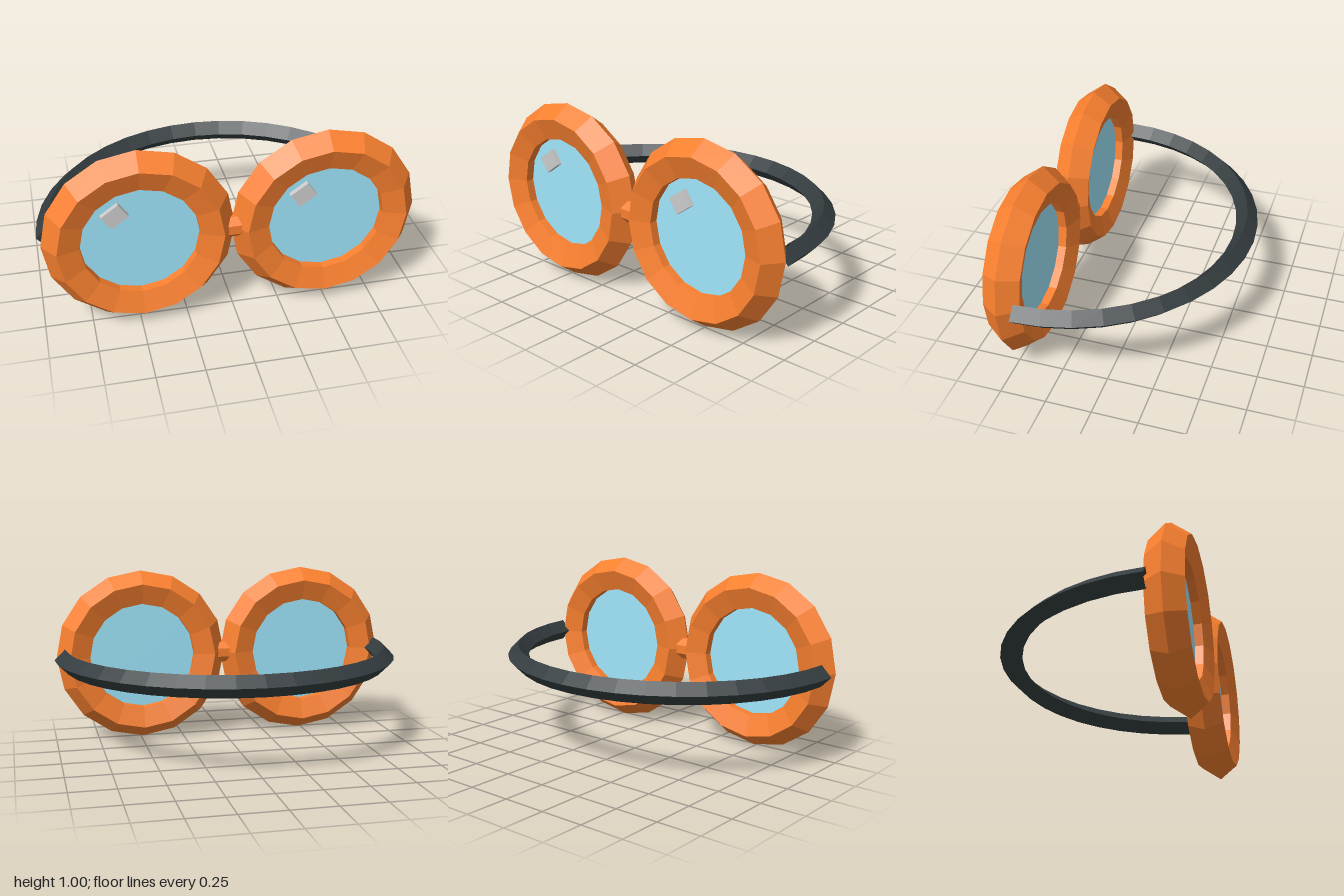
import * as THREE from 'three';

const material = (color, side = THREE.FrontSide) =>
  new THREE.MeshStandardMaterial({ color, flatShading: true, side });

export function createModel() {
  const group = new THREE.Group();
  const orange = material(0xf9802f);
  const blue = material(0x9fe6fb);
  const grey = material(0xcccccc);
  const dark = material(0x353d40, THREE.DoubleSide);
  const midY = 0.502, frameZ = 0.49;

  const add = (parent, name, geometry, mat, x = 0, y = 0, z = 0) => {
    const mesh = new THREE.Mesh(geometry, mat);
    mesh.name = name;
    mesh.position.set(x, y, z);
    parent.add(mesh);
    return mesh;
  };

  // Eyepieces: faceted rim, thin lens and a tilted glint block
  const rim = new THREE.TorusGeometry(0.393, 0.1045, 5, 16);
  const lens = new THREE.CylinderGeometry(0.32, 0.32, 0.03, 16).rotateX(Math.PI / 2);
  const glint = new THREE.BoxGeometry(0.11, 0.09, 0.05).rotateZ(0.62);
  for (const [side, x] of [['left', 0.486], ['right', -0.486]]) {
    const eye = new THREE.Group();
    eye.name = side + 'Eyepiece';
    eye.position.set(x, midY, frameZ);
    add(eye, side + 'Rim', rim, orange);
    add(eye, side + 'Lens', lens, blue);
    add(eye, side + 'Glint', glint, grey, -0.123, 0.153, 0.018);
    group.add(eye);
  }

  // Nose bridge: eight-sided bar with flat faces to the front and top
  const bridge = new THREE.CylinderGeometry(0.065, 0.065, 0.2, 8);
  bridge.rotateY(Math.PI / 8).rotateZ(Math.PI / 2);
  add(group, 'bridge', bridge, orange, 0, midY, frameZ);

  // Head strap: half ring with a diamond section, curving to the back
  const strap = new THREE.TorusGeometry(0.94, 0.06, 4, 20, Math.PI).rotateX(-Math.PI / 2);
  add(group, 'strap', strap, dark, 0, midY, 0.41);

  return group;
}
